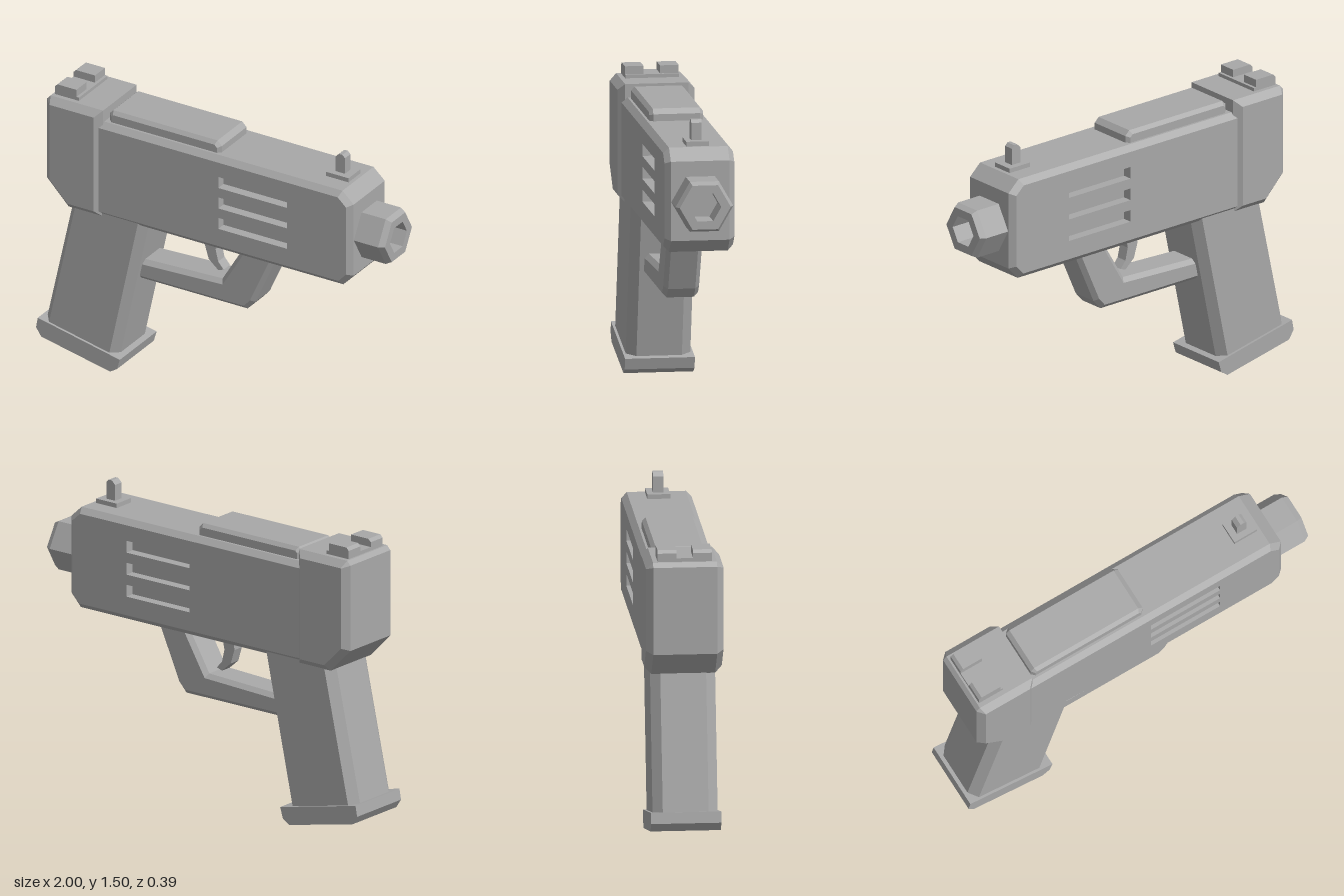
import * as THREE from 'three';

const grey = new THREE.MeshStandardMaterial({ color: 0xa8a8a8 });
grey.name = 'grey';

// Moves a counter-clockwise outline inward by d.
function inset(pts, d) {
  const n = pts.length;
  const normal = (a, b) => new THREE.Vector2(b.y - a.y, a.x - b.x).normalize();
  return pts.map((p, i) => {
    const n1 = normal(pts[(i + n - 1) % n], p);
    const n2 = normal(p, pts[(i + 1) % n]);
    return p.clone().addScaledVector(n1.clone().add(n2), -d / (1 + n1.dot(n2)));
  });
}

// Flat-shaded slab from a side outline, with chamfered edges and optional recesses on both faces.
function slab(name, outline, half, { bevel = 0, bevelZ = bevel, slots = [], depth = 0.05 } = {}) {
  const outer = outline.map(([x, y]) => new THREE.Vector2(x, y));
  const face = bevel ? inset(outer, bevel) : outer;
  const pos = [];
  const tri = (a, b, c) => pos.push(...a, ...b, ...c);
  const at = (p, z) => [p.x, p.y, z];
  const wall = (r0, z0, r1, z1) => r0.forEach((p, i) => {
    const j = (i + 1) % r0.length;
    tri(at(p, z0), at(r0[j], z0), at(r1[j], z1));
    tri(at(p, z0), at(r1[j], z1), at(r1[i], z1));
  });
  const cap = (ring, holes, z, up) => {
    const all = [...ring, ...holes.flat()];
    for (const [a, b, c] of THREE.ShapeUtils.triangulateShape(ring, holes)) {
      const t = [all[a], all[b], all[c]].map((p) => at(p, z));
      if (up) tri(t[0], t[1], t[2]);
      else tri(t[0], t[2], t[1]);
    }
  };
  if (bevel) wall(face, -half, outer, -half + bevelZ);
  wall(outer, -half + bevelZ, outer, half - bevelZ);
  if (bevel) wall(outer, half - bevelZ, face, half);

  // Slot loops run clockwise, so their walls face into the recess.
  const holes = slots.map(([x0, y0, x1, y1]) =>
    [[x0, y0], [x0, y1], [x1, y1], [x1, y0]].map(([x, y]) => new THREE.Vector2(x, y)));
  cap(face, holes, half, true);
  cap(face, holes, -half, false);
  for (const h of holes) {
    wall(h, half - depth, h, half);
    wall(h, -half, h, -half + depth);
    const floor = [...h].reverse();
    cap(floor, [], half - depth, true);
    cap(floor, [], -half + depth, false);
  }
  const geo = new THREE.BufferGeometry();
  geo.setAttribute('position', new THREE.Float32BufferAttribute(pos, 3));
  geo.computeVertexNormals();
  const mesh = new THREE.Mesh(geo, grey);
  mesh.name = name;
  return mesh;
}

export function createModel() {
  const model = new THREE.Group();
  model.name = 'blaster';

  // Main body with three vents on each side
  model.add(slab('body',
    [[-0.7, 0.855], [0.77, 0.855], [0.83, 0.92], [0.83, 1.32], [0.765, 1.38], [-0.7, 1.38]],
    0.175, { bevel: 0.028, slots: [0.98, 1.095, 1.21].map((y) => [0.06, y, 0.46, y + 0.062]) }));

  // Rear housing and raised top plate
  model.add(slab('rearHousing',
    [[-0.82, 0.852], [-0.62, 0.852], [-0.62, 1.447], [-0.925, 1.447], [-0.945, 1.425], [-0.945, 0.98]],
    0.193, { bevel: 0.034 }));
  model.add(slab('topPlate',
    [[-0.605, 1.34], [0.045, 1.34], [0.045, 1.415], [0.02, 1.44], [-0.585, 1.44], [-0.605, 1.42]],
    0.135, { bevel: 0.018 }));

  // Hexagonal barrel with a hollow bore
  const profile = [[0.145, 0.8], [0.145, 0.97], [0.128, 1], [0.08, 1], [0.08, 0.87], [0, 0.87]];
  const barrelGeo = new THREE.LatheGeometry(profile.map(([r, y]) => new THREE.Vector2(r, y)), 6).toNonIndexed();
  barrelGeo.rotateZ(-Math.PI / 2);
  barrelGeo.computeVertexNormals();
  const barrel = new THREE.Mesh(barrelGeo, grey);
  barrel.name = 'barrel';
  barrel.position.y = 1.117;
  model.add(barrel);

  // Slanted grip and its foot
  model.add(slab('grip',
    [[-0.983, 0.12], [-0.555, 0.04], [-0.36, 0.95], [-0.8, 0.95]],
    0.162, { bevel: 0.038, bevelZ: 0.048 }));
  model.add(slab('gripFoot',
    [[-1, 0.13], [-0.97, 0.085], [-0.57, 0], [-0.53, 0.025], [-0.513, 0.082], [-0.99, 0.185]], 0.175));

  // Trigger guard and trigger
  model.add(slab('triggerGuard',
    [[-0.55, 0.513], [0.165, 0.513], [0.21, 0.563], [0.365, 0.91], [0.18, 0.91], [0.02, 0.642], [-0.55, 0.62]],
    0.09, { bevel: 0.022 }));
  model.add(slab('trigger',
    [[-0.1, 0.9], [-0.108, 0.78], [-0.085, 0.705], [-0.03, 0.657], [0.002, 0.668], [-0.03, 0.705],
      [-0.045, 0.77], [-0.02, 0.9]], 0.03));

  // Rear sight: low base and two blocks
  model.add(slab('rearSightBase',
    [[-0.915, 1.43], [-0.775, 1.43], [-0.775, 1.465], [-0.915, 1.465]], 0.135));
  for (const side of [-1, 1]) {
    const block = slab('rearSightBlock',
      [[-0.915, 1.45], [-0.79, 1.45], [-0.79, 1.505], [-0.9, 1.505], [-0.915, 1.49]], 0.047);
    block.position.z = side * 0.088;
    model.add(block);
  }

  // Front sight: base and post
  model.add(slab('frontSightBase', [[0.615, 1.37], [0.745, 1.37], [0.745, 1.403], [0.615, 1.403]], 0.057));
  model.add(slab('frontSightPost',
    [[0.65, 1.39], [0.705, 1.39], [0.705, 1.49], [0.69, 1.505], [0.67, 1.505], [0.65, 1.485]], 0.026));

  return model;
}
